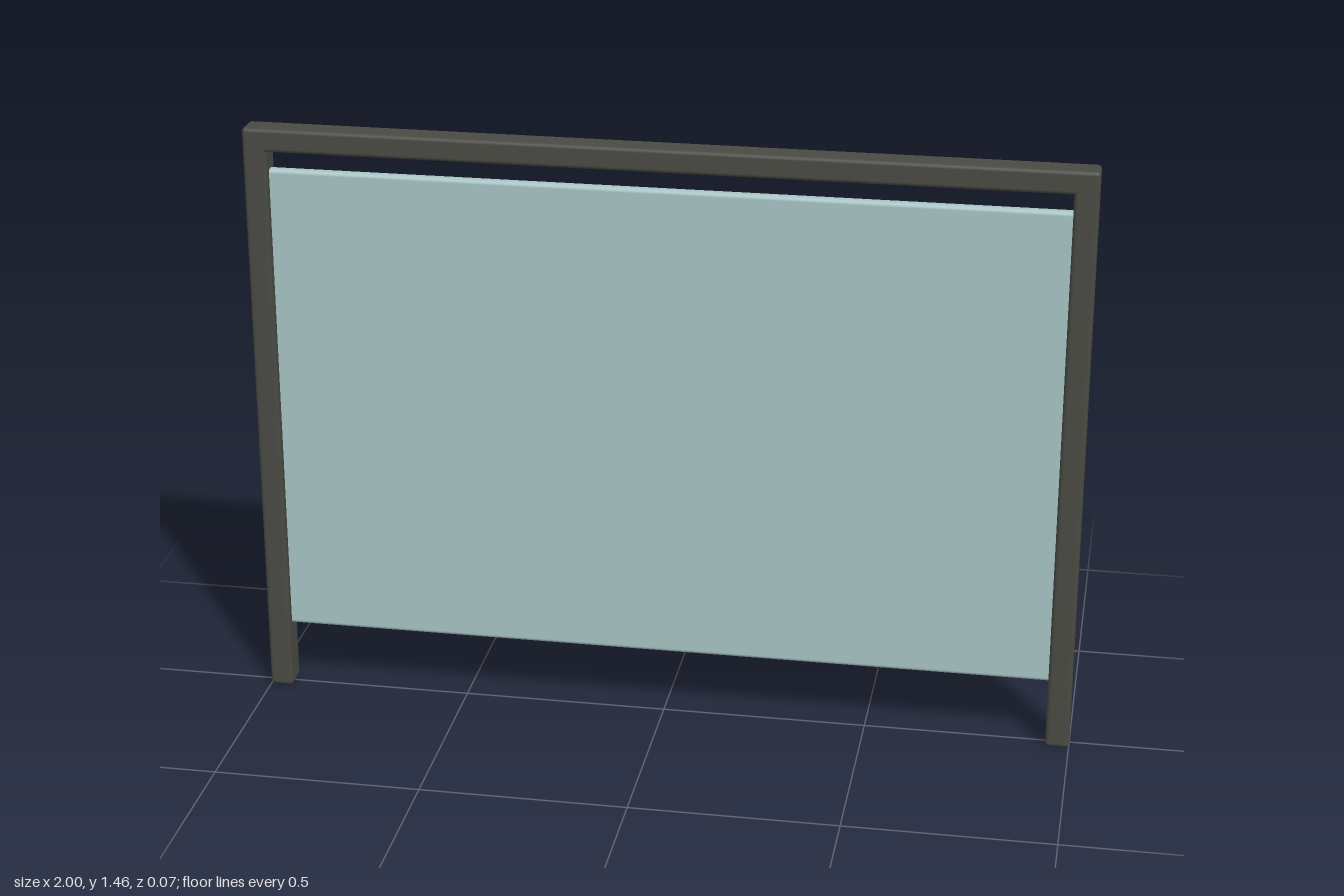
import * as THREE from 'three';
import { RoundedBoxGeometry } from 'three/addons/geometries/RoundedBoxGeometry.js';

export function createModel() {
  const model = new THREE.Group();
  const frameMaterial = new THREE.MeshStandardMaterial({ color: 0x4a4a44 });
  const panelMaterial = new THREE.MeshStandardMaterial({ color: 0xa9c4c6 });

  const height = 1.458, depth = 0.068, bar = 0.057;

  // Rounded block placed by its centre
  function block(name, size, position, radius, material) {
    const mesh = new THREE.Mesh(new RoundedBoxGeometry(...size, 3, radius), material);
    mesh.name = name;
    mesh.position.set(...position);
    model.add(mesh);
  }

  // Upright posts, ending inside the top rail
  const postHeight = height - 0.014;
  for (const [name, side] of [['leftPost', 1], ['rightPost', -1]]) {
    block(name, [bar, postHeight, depth], [side * (1 - bar / 2), postHeight / 2, 0], 0.01, frameMaterial);
  }

  // Top rail across both posts
  block('topRail', [2, bar, depth], [0, height - bar / 2, 0], 0.01, frameMaterial);

  // Glass panel, its ends set into the posts
  const bottom = 0.166, top = 1.354;
  block('glassPanel', [1.92, top - bottom, 0.028], [0, (top + bottom) / 2, 0], 0.01, panelMaterial);

  return model;
}
